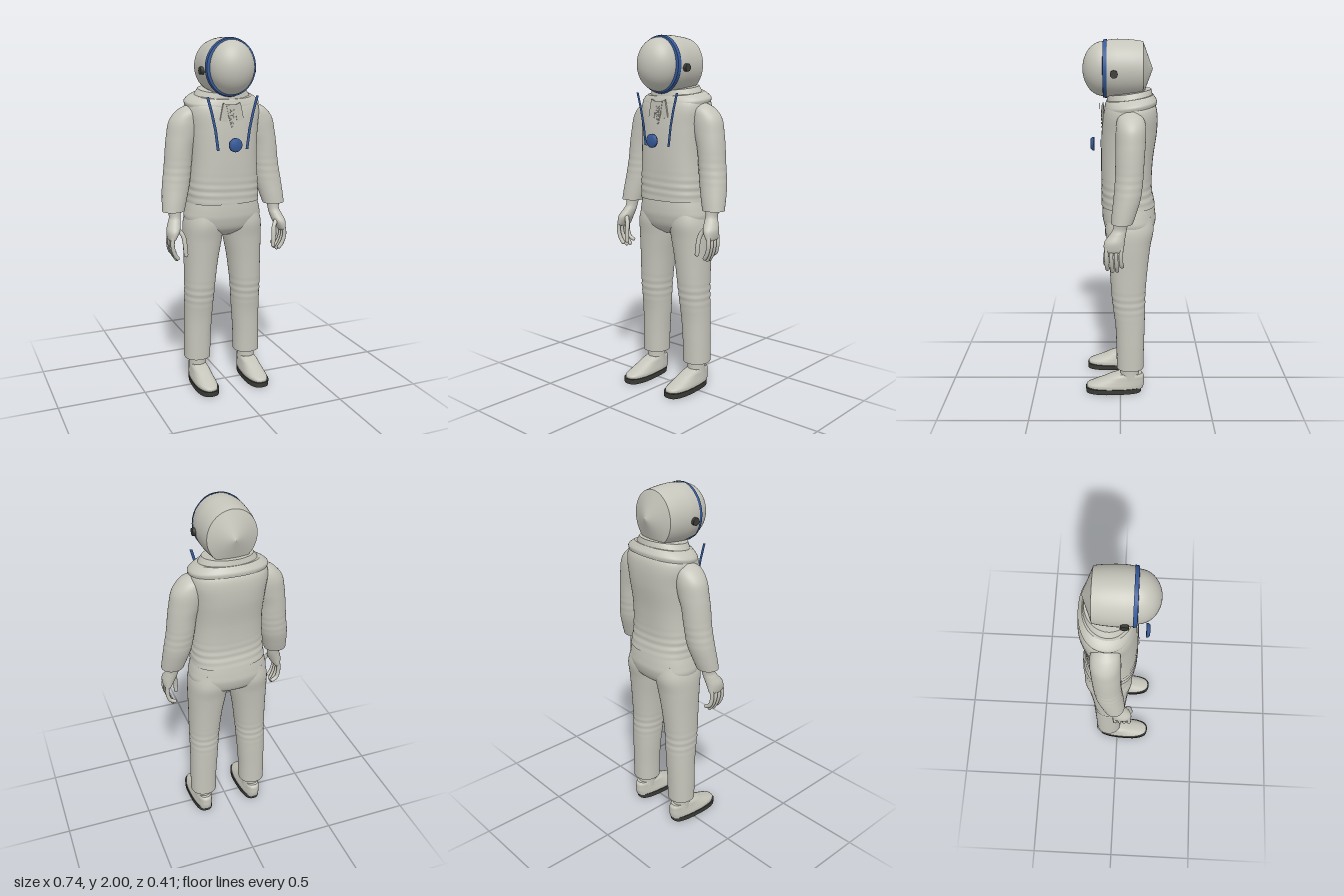
import * as THREE from 'three';
import { mergeGeometries } from 'three/addons/utils/BufferGeometryUtils.js';

const mat = (name, color) => Object.assign(new THREE.MeshStandardMaterial({ color }), { name });
const fabric = mat('pale grey fabric', 0xc6c5bb);
const blue = mat('blue trim', 0x365a9a);
blue.side = THREE.DoubleSide;
const dark = mat('dark rubber', 0x3b3b37);

// Smooth capped loft through horizontal sections [y, xCentre, xRadius, zCentre, zRadius], bottom to top
function loft(sections, { power = 2, warp, steps = 8, around = 40 } = {}) {
  const centres = new THREE.CatmullRomCurve3(sections.map(([y, x, , z]) => new THREE.Vector3(x, y, z)), false, 'catmullrom');
  const radii = new THREE.CatmullRomCurve3(sections.map(([, , rx, , rz]) => new THREE.Vector3(rx, 0, rz)), false, 'catmullrom');
  const rows = (sections.length - 1) * steps;
  const pos = [], index = [];
  const bend = (c) => Math.sign(c) * Math.abs(c) ** (2 / power);
  const ring = (t) => {
    const c = centres.getPoint(t), r = radii.getPoint(t);
    for (let i = 0; i < around; i++) {
      const a = (i / around) * Math.PI * 2;
      const v = new THREE.Vector3(c.x + r.x * bend(Math.cos(a)), c.y, c.z + r.z * bend(Math.sin(a)));
      if (warp) warp(v, c);
      pos.push(v.x, v.y, v.z);
    }
  };
  for (let j = 0; j <= rows; j++) ring(j / rows);
  for (let j = 0; j < rows; j++) {
    for (let i = 0; i < around; i++) {
      const a = j * around + i, b = j * around + ((i + 1) % around);
      index.push(a, a + around, b, b, a + around, b + around);
    }
  }
  for (const t of [0, 1]) {
    const start = pos.length / 3, c = centres.getPoint(t);
    ring(t);
    if (warp) warp(c, c.clone());
    pos.push(c.x, c.y, c.z);
    for (let i = 0; i < around; i++) {
      const a = start + i, b = start + ((i + 1) % around);
      index.push(start + around, t ? b : a, t ? a : b);
    }
  }
  const g = new THREE.BufferGeometry();
  g.setAttribute('position', new THREE.Float32BufferAttribute(pos, 3));
  g.setIndex(index);
  g.computeVertexNormals();
  return g;
}

// Cloth folds near one height
const folds = (height, spread, amount) => (v, c) => {
  const k = 1 + amount * Math.sin(v.y * 150 + v.x * 6) * Math.exp(-(((v.y - height) / spread) ** 2));
  v.x = c.x + (v.x - c.x) * k;
  v.z = c.z + (v.z - c.z) * k;
};

// Solid of revolution about the z axis, profile of [radius, z]
const turned = (profile) => new THREE.LatheGeometry(profile.map((p) => new THREE.Vector2(...p)), 56).rotateX(Math.PI / 2);

function finger(points, r) {
  const path = points.map((p) => new THREE.Vector3(...p));
  const tip = path[path.length - 1];
  return mergeGeometries([
    new THREE.TubeGeometry(new THREE.CatmullRomCurve3(path), 12, r, 10),
    new THREE.SphereGeometry(r, 10, 8).translate(tip.x, tip.y, tip.z),
  ]);
}

const outline = (points) => new THREE.Shape(points.map((p) => new THREE.Vector2(...p)));

export function createModel() {
  const model = new THREE.Group();
  const add = (name, geometry, material = fabric, parent = model) => {
    const mesh = new THREE.Mesh(geometry, material);
    mesh.name = name;
    parent.add(mesh);
    return mesh;
  };

  // Jacket, collar and trouser seat
  add('jacket', loft([
    [1.095, 0, 0.207, -0.043, 0.150], [1.2, 0, 0.2, -0.034, 0.141], [1.35, 0, 0.192, -0.036, 0.144],
    [1.5, 0, 0.2, -0.048, 0.152], [1.6, 0, 0.212, -0.054, 0.148], [1.655, 0, 0.195, -0.055, 0.132], [1.69, 0, 0.14, -0.05, 0.1],
  ], { power: 2.5, warp: folds(1.17, 0.06, 0.012), steps: 14, around: 56 }));
  const tilt = (v) => { v.y -= (v.z + 0.05) * 0.14; };
  add('collarYoke', loft([
    [1.635, 0, 0.212, -0.055, 0.142], [1.655, 0, 0.214, -0.055, 0.143], [1.675, 0, 0.195, -0.052, 0.135], [1.69, 0, 0.17, -0.05, 0.128],
  ], { power: 2.2, warp: tilt, around: 56 }));
  add('neckRing', loft([
    [1.66, 0, 0.17, -0.05, 0.127], [1.69, 0, 0.158, -0.05, 0.124], [1.72, 0, 0.137, -0.048, 0.12],
  ], { warp: tilt, around: 56 }));
  add('trouserSeat', loft([
    [0.9, 0, 0.08, -0.05, 0.07], [0.94, 0, 0.19, -0.05, 0.125], [1.0, 0, 0.222, -0.05, 0.148],
    [1.05, 0, 0.217, -0.047, 0.149], [1.12, 0, 0.198, -0.043, 0.142],
  ], { power: 2.3, around: 56 }));

  // Helmet
  const helmet = new THREE.Group();
  helmet.name = 'helmet';
  helmet.position.y = 1.842;
  model.add(helmet);
  const shell = new THREE.Group();
  shell.name = 'helmetShell';
  shell.scale.y = 1.08;
  helmet.add(shell);
  add('helmetBackCone', turned([[0, -0.175], [0.135, -0.121]]), fabric, shell);
  const wall = new THREE.SplineCurve([[0.135, -0.121], [0.142, -0.07], [0.146, 0], [0.145, 0.04], [0.138, 0.09]]
    .map((p) => new THREE.Vector2(...p))).getPoints(20);
  add('helmetWall', turned(wall.map((p) => [p.x, p.y])), fabric, shell);
  add('helmetFrontDisc', turned([[0.138, 0.09], [0, 0.09]]), fabric, shell);
  add('visorRingSide', turned([[0.146, 0.074], [0.142, 0.094]]), blue, shell);
  add('visorRingFace', turned([[0.142, 0.094], [0.126, 0.096]]), blue, shell);
  add('visor', new THREE.SphereGeometry(1, 48, 24, 0, Math.PI * 2, 0, Math.PI / 2)
    .rotateX(Math.PI / 2).scale(0.126, 0.146, 0.114).translate(0, 0, 0.092), fabric, helmet);

  // Chest medallion
  add('medallion', turned([[0, 0.145], [0.038, 0.145], [0.038, 0.155], [0.028, 0.165], [0, 0.165]]), blue).position.y = 1.432;

  // Collar opening with laces
  add('placket', new THREE.ExtrudeGeometry(outline([[-0.034, 1.645], [0, 1.5], [0.034, 1.645]]),
    { depth: 0.008, bevelEnabled: false }).translate(0, 0, 0.095));
  for (let i = 0; i < 5; i++) {
    for (const s of [-1, 1]) {
      add('lace', new THREE.BoxGeometry(0.03 - i * 0.005, 0.004, 0.004).rotateZ(s * 0.5).translate(0, 1.61 - i * 0.021, 0.105));
    }
  }

  for (const s of [1, -1]) {
    const side = s > 0 ? 'left' : 'right';
    const mirror = (rows) => rows.map(([y, x, ...rest]) => [y, x * s, ...rest]);

    // Helmet knob, strap and lapel
    add(side + 'HelmetKnob', new THREE.CylinderGeometry(0.021, 0.021, 0.024, 20).rotateZ(Math.PI / 2)
      .translate(s * 0.149, -0.017, 0.035), dark, helmet);
    const strap = [[0.145, 1.69], [0.12, 1.6], [0.1, 1.51], [0.085, 1.4]];
    const edge = (d) => strap.map(([x, y]) => [s * (x + d), y]);
    add(side + 'Strap', new THREE.ShapeGeometry(outline([...edge(0.008), ...edge(-0.008).reverse()])).translate(0, 0, 0.11), blue);
    add(side + 'Lapel', new THREE.ExtrudeGeometry(outline([[0.014, 1.64], [0.03, 1.55], [0.07, 1.56], [0.05, 1.655]].map(([x, y]) => [s * x, y])),
      { depth: 0.009, bevelEnabled: false }).translate(0, 0, 0.092));

    // Sleeve
    add(side + 'Sleeve', loft(mirror([
      [1.635, 0.195, 0.02, -0.052, 0.025], [1.605, 0.2, 0.064, -0.053, 0.066], [1.55, 0.218, 0.089, -0.055, 0.079],
      [1.47, 0.237, 0.087, -0.053, 0.079], [1.4, 0.254, 0.079, -0.05, 0.077], [1.3, 0.266, 0.077, -0.046, 0.075],
      [1.2, 0.281, 0.077, -0.037, 0.073], [1.12, 0.296, 0.07, -0.021, 0.066], [1.06, 0.307, 0.063, -0.008, 0.058],
    ].reverse()), { warp: folds(1.27, 0.06, 0.012), steps: 10 }));

    // Hand with four curled fingers and a thumb
    add(side + 'Palm', loft(mirror([
      [0.905, 0.335, 0.014, 0.035, 0.04], [0.92, 0.333, 0.023, 0.035, 0.052], [0.96, 0.323, 0.036, 0.032, 0.054],
      [1.0, 0.31, 0.035, 0.014, 0.043], [1.03, 0.303, 0.032, 0.002, 0.037], [1.08, 0.303, 0.04, -0.006, 0.04],
    ]), { around: 24 }));
    for (let i = 0; i < 4; i++) {
      const z = 0.073 - i * 0.026, tip = 0.795 + [0.012, 0, 0, 0.022][i];
      add(side + 'Finger', finger([
        [s * 0.337, 0.935, z], [s * 0.342, 0.88, z + 0.003], [s * 0.328, 0.83, z], [s * (0.312 - i * 0.003), tip, z - 0.003],
      ], 0.0115));
    }
    add(side + 'Thumb', finger([
      [s * 0.31, 0.98, 0.045], [s * 0.277, 0.93, 0.068], [s * 0.27, 0.87, 0.08], [s * 0.267, 0.825, 0.082],
    ], 0.0125));

    // Trouser leg
    add(side + 'TrouserLeg', loft(mirror([
      [0.153, 0.157, 0.076, -0.056, 0.077], [0.28, 0.155, 0.077, -0.056, 0.079], [0.4, 0.15, 0.08, -0.055, 0.083],
      [0.5, 0.146, 0.083, -0.05, 0.09], [0.6, 0.142, 0.087, -0.045, 0.096], [0.75, 0.133, 0.096, -0.046, 0.107],
      [0.88, 0.122, 0.109, -0.048, 0.12], [0.97, 0.115, 0.112, -0.05, 0.134], [1.05, 0.105, 0.1, -0.05, 0.125],
    ]), { power: 2.2, warp: folds(0.56, 0.06, 0.018), steps: 12 }));

    // Ankle, shoe and sole, narrower at the heel
    const heel = (v) => { v.x = s * 0.157 + (v.x - s * 0.157) * (0.88 + THREE.MathUtils.smoothstep(v.z, -0.1, 0.12) * 0.12); };
    add(side + 'Ankle', loft(mirror([
      [0.08, 0.157, 0.05, -0.055, 0.06], [0.12, 0.157, 0.049, -0.053, 0.053], [0.18, 0.157, 0.05, -0.053, 0.053],
    ])));
    add(side + 'Shoe', loft(mirror([
      [0.025, 0.157, 0.062, 0.032, 0.163], [0.045, 0.157, 0.062, 0.029, 0.165], [0.06, 0.157, 0.059, 0.012, 0.15],
      [0.08, 0.157, 0.055, -0.014, 0.123], [0.1, 0.157, 0.052, -0.036, 0.099], [0.115, 0.157, 0.046, -0.053, 0.07],
    ]), { power: 2.5, warp: heel }));
    add(side + 'Sole', loft(mirror([
      [0, 0.157, 0.065, 0.04, 0.16], [0.03, 0.157, 0.067, 0.04, 0.162],
    ]), { power: 2.8, warp: heel, steps: 2 }), dark);
  }
  return model;
}
